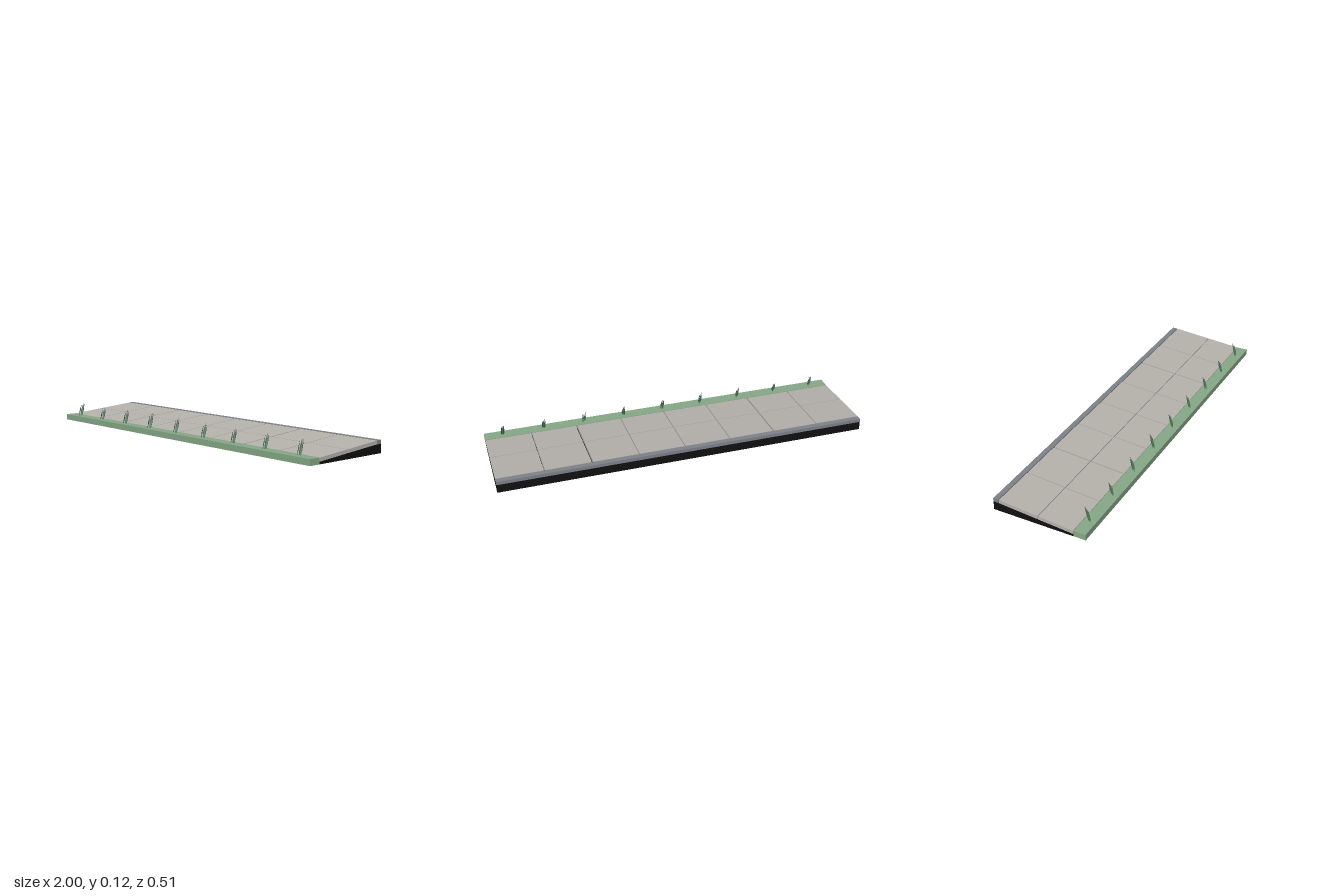
import * as THREE from 'three';

const mat = (name, color, side = THREE.FrontSide) => {
  const m = new THREE.MeshStandardMaterial({ color, side });
  m.name = name;
  return m;
};

// Prism with a (z, y) side profile, running from x0 to x1
function prism(profile, x0, x1) {
  const shape = new THREE.Shape(profile.map(([z, y]) => new THREE.Vector2(z, y)));
  const g = new THREE.ExtrudeGeometry(shape, { depth: x1 - x0, bevelEnabled: false });
  return g.rotateY(-Math.PI / 2).translate(x1, 0, 0);
}

// Narrow pointed leaf standing on its base, width along z
function bladeGeometry(width, height) {
  const s = new THREE.Shape();
  s.moveTo(-width * 0.15, 0);
  s.lineTo(width * 0.15, 0);
  s.lineTo(width * 0.5, height * 0.4);
  s.lineTo(0, height);
  s.lineTo(-width * 0.5, height * 0.4);
  return new THREE.ShapeGeometry(s).rotateY(-Math.PI / 2);
}

export function createModel() {
  const root = new THREE.Group();
  root.name = 'slopedPavement';

  const base = mat('black base', 0x101010);
  const stone = mat('grey stone', 0xb5b2ac);
  const kerbGrey = mat('blue grey kerb', 0x7d8189);
  const turf = mat('turf green', 0x86a886);
  const leaf = mat('leaf green', 0x4f7358, THREE.DoubleSide);

  const add = (parent, name, geometry, material) => {
    const mesh = new THREE.Mesh(geometry, material);
    mesh.name = name;
    parent.add(mesh);
    return mesh;
  };

  // Height of the ramp bed at a given z
  const bedY = z => 0.0125 + (0.188 - z) * 0.0835;

  // Sloping bed under the paving
  add(root, 'rampBase', prism(
    [[0.189, 0], [0.189, bedY(0.189)], [-0.222, bedY(-0.222)], [-0.253, 0.047], [-0.253, 0]], -1, 1), base);

  // Two rows of eight slabs, with wider joints at x = -0.5 and 0.5
  const paving = new THREE.Group();
  paving.name = 'paving';
  root.add(paving);
  const thick = 0.0188;
  const joint = x => Math.abs(x) === 1 ? 0 : Math.abs(x) === 0.5 ? 0.004 : 0.0025;
  for (const [zf, zb] of [[0.186, -0.002], [-0.006, -0.221]]) {
    for (let i = 0; i < 8; i++) {
      const x0 = -1 + i * 0.25, x1 = x0 + 0.25;
      add(paving, 'slab', prism([
        [zf, bedY(zf)], [zf, bedY(zf) + thick],
        [zb, bedY(zb) + thick], [zb, bedY(zb)]
      ], x0 + joint(x0), x1 - joint(x1)), stone);
    }
  }

  // Kerb along the high edge
  add(root, 'kerb', new THREE.BoxGeometry(2, 0.02, 0.028).translate(0, 0.056, -0.239), kerbGrey);

  // Planting strip along the low edge
  add(root, 'turfStrip', new THREE.BoxGeometry(2, 0.032, 0.064).translate(0, 0.016, 0.221), turf);

  // Nine tufts of leaning blades: [x offset, z offset, height, yaw]
  const blades = [
    [-0.007, 0.008, 0.076, 0.4], [-0.003, -0.002, 0.086, -0.5], [0.001, 0.004, 0.07, 0.9],
    [0.005, -0.004, 0.08, 0.2], [0.008, 0.003, 0.064, -0.8]
  ];
  const scales = [0.97, 0.85, 0.95, 1.03, 0.98, 0.92, 0.94, 0.95, 1.0];
  scales.forEach((scale, i) => {
    const tuft = new THREE.Group();
    tuft.name = 'grassTuft';
    tuft.position.set(-0.9 + i * 0.225, 0.031, 0.216);
    root.add(tuft);
    for (const [x, z, h, yaw] of blades) {
      const g = bladeGeometry(0.011, h * scale).rotateY(yaw).rotateX(-0.25).translate(x, 0, z);
      add(tuft, 'blade', g, leaf);
    }
  });

  return root;
}
